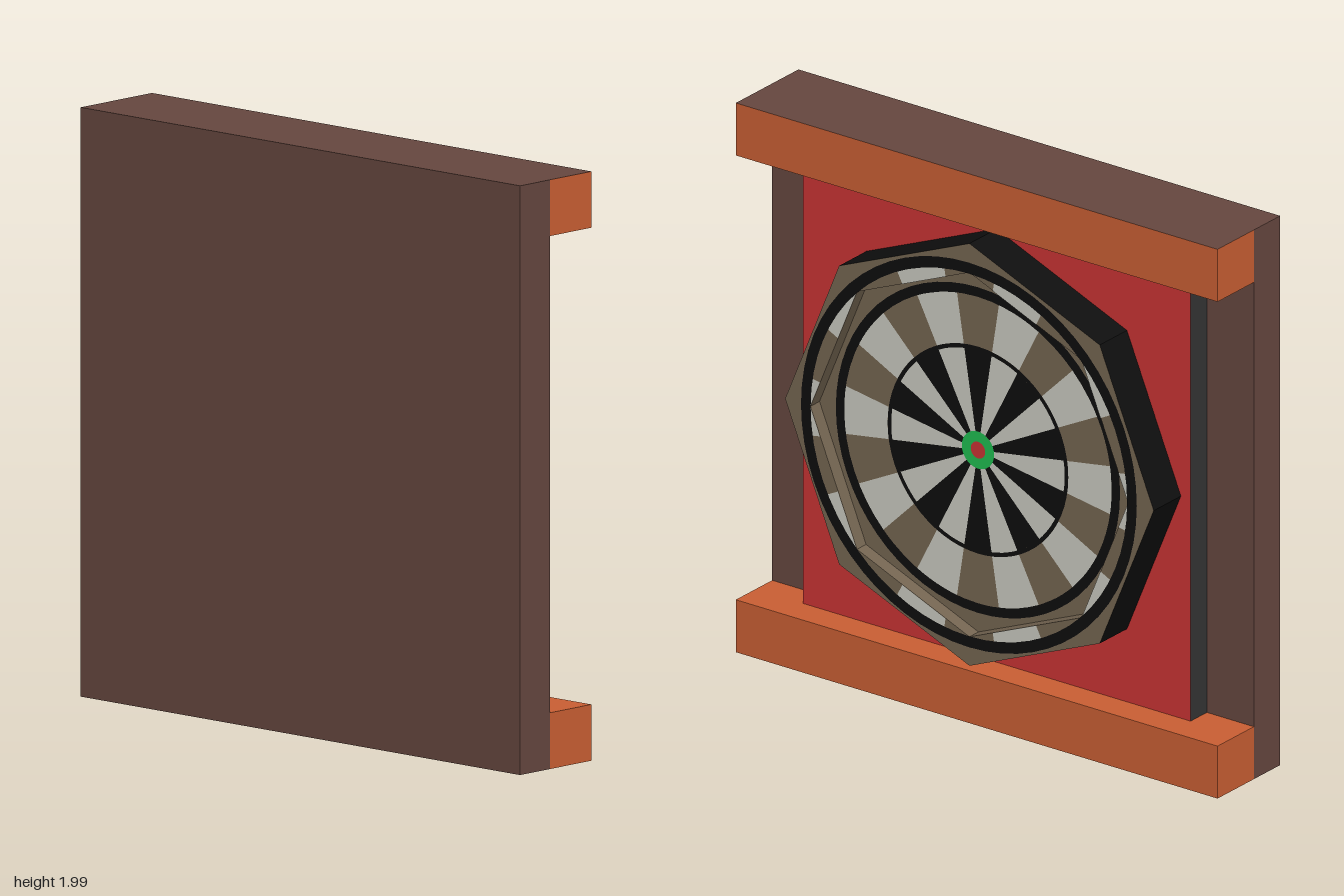
import * as THREE from 'three';

const mat = (name, color) => {
  const m = new THREE.MeshStandardMaterial({ color });
  m.name = name;
  return m;
};

export function createModel() {
  const brown = mat('darkWood', 0x66473f);
  const orange = mat('orangeWood', 0xca5f33);
  const red = mat('redFelt', 0xca3434);
  const grey = mat('greyEdge', 0x343434);
  const black = mat('black', 0x0e0e0e);
  const tan = mat('tan', 0x746551);
  const white = mat('offWhite', 0xcacac0);
  const green = mat('green', 0x20bd50);

  const model = new THREE.Group();
  model.name = 'framedDartboard';

  const add = (parent, name, geometry, material, z = 0) => {
    const mesh = new THREE.Mesh(geometry, material);
    mesh.name = name;
    mesh.position.z = z;
    parent.add(mesh);
    return mesh;
  };
  const box = (name, x0, x1, y0, y1, halfZ, material) => {
    const m = add(model, name, new THREE.BoxGeometry(x1 - x0, y1 - y0, 2 * halfZ), material);
    m.position.set((x0 + x1) / 2, (y0 + y1) / 2, 0);
  };

  // Cabinet: back board, two rails and the felt panel (faces: +x -x +y -y +z -z)
  box('backBoard', -0.195, -0.05, 0, 1.99, 1, brown);
  box('topRail', -0.05, 0.15, 1.8, 1.99, 1, [orange, brown, brown, orange, orange, orange]);
  box('bottomRail', -0.05, 0.15, 0, 0.19, 1, [orange, brown, orange, brown, orange, orange]);
  box('feltPanel', -0.05, 0.04, 0.19, 1.8, 0.805, [red, grey, grey, grey, grey, grey]);

  // Dartboard, built facing +z and then turned to face +x
  const board = new THREE.Group();
  board.name = 'dartboard';
  board.position.set(0.04, 0.995, 0);
  board.rotation.y = Math.PI / 2;
  model.add(board);

  const OUTER = 0.765, INNER = 0.66, FLOOR = 0.1, FRONT = 0.15;
  const octagon = (r) => Array.from({ length: 8 }, (_, i) =>
    new THREE.Vector2(r * Math.cos(i * Math.PI / 4), r * Math.sin(i * Math.PI / 4)));
  const octagonPrism = (r, hole, depth) => {
    const shape = new THREE.Shape(octagon(r));
    if (hole) shape.holes.push(new THREE.Path(octagon(hole)));
    return new THREE.ExtrudeGeometry(shape, { depth, bevelEnabled: false });
  };

  // Octagonal body with a raised rim around the recessed face
  add(board, 'boardBase', octagonPrism(OUTER, 0, FLOOR), [tan, black]);
  add(board, 'boardRim', octagonPrism(OUTER, INNER + 0.004, FRONT - FLOOR), [tan, black], FLOOR);
  add(board, 'rimLining', octagonPrism(INNER + 0.004, INNER, FRONT - FLOOR), tan, FLOOR);

  // Painted rings and sectors
  const ring = (name, r0, r1, material, z) =>
    add(board, name, new THREE.RingGeometry(r0, r1, 64), material, z);
  const paint = FLOOR + 0.003;
  const step = Math.PI / 10;
  const sector = (name, i, r0, r1, material) => add(board, name,
    new THREE.RingGeometry(r0, r1, 6, 1, Math.PI / 2 + (i - 0.5) * step, step), material, paint);

  add(board, 'bullseye', new THREE.CircleGeometry(0.03, 24), red, paint);
  ring('bullRing', 0.03, 0.067, green, paint);
  ring('trebleRing', 0.36, 0.375, black, paint);
  ring('doubleRing', 0.555, 0.59, black, paint);
  ring('outerRing', 0.657, 0.697, black, FRONT + 0.003);

  // Distance from the centre to the inner octagon at an angle
  const edgeRadius = (a) => {
    const q = Math.PI / 4;
    const t = ((a % q) + q) % q - q / 2;
    return INNER * Math.cos(q / 2) / Math.cos(t);
  };

  for (let i = 0; i < 20; i++) {
    const light = i % 2 === 1;
    sector('innerSector', i, 0.067, 0.36, light ? white : black);
    sector('outerSector', i, 0.375, 0.555, light ? white : tan);
    if (!light) continue;
    // Light patch on the rim, between the recess edge and the outer ring
    const inside = [], outside = [];
    for (let k = 0; k <= 8; k++) {
      const a = Math.PI / 2 + (i - 0.5 + k / 8) * step;
      const r = edgeRadius(a);
      const R = Math.max(0.661, r + 0.001);
      outside.push(new THREE.Vector2(R * Math.cos(a), R * Math.sin(a)));
      inside.unshift(new THREE.Vector2(r * Math.cos(a), r * Math.sin(a)));
    }
    add(board, 'rimPatch', new THREE.ShapeGeometry(new THREE.Shape([...outside, ...inside])),
      white, FRONT + 0.0015);
  }

  return model;
}
